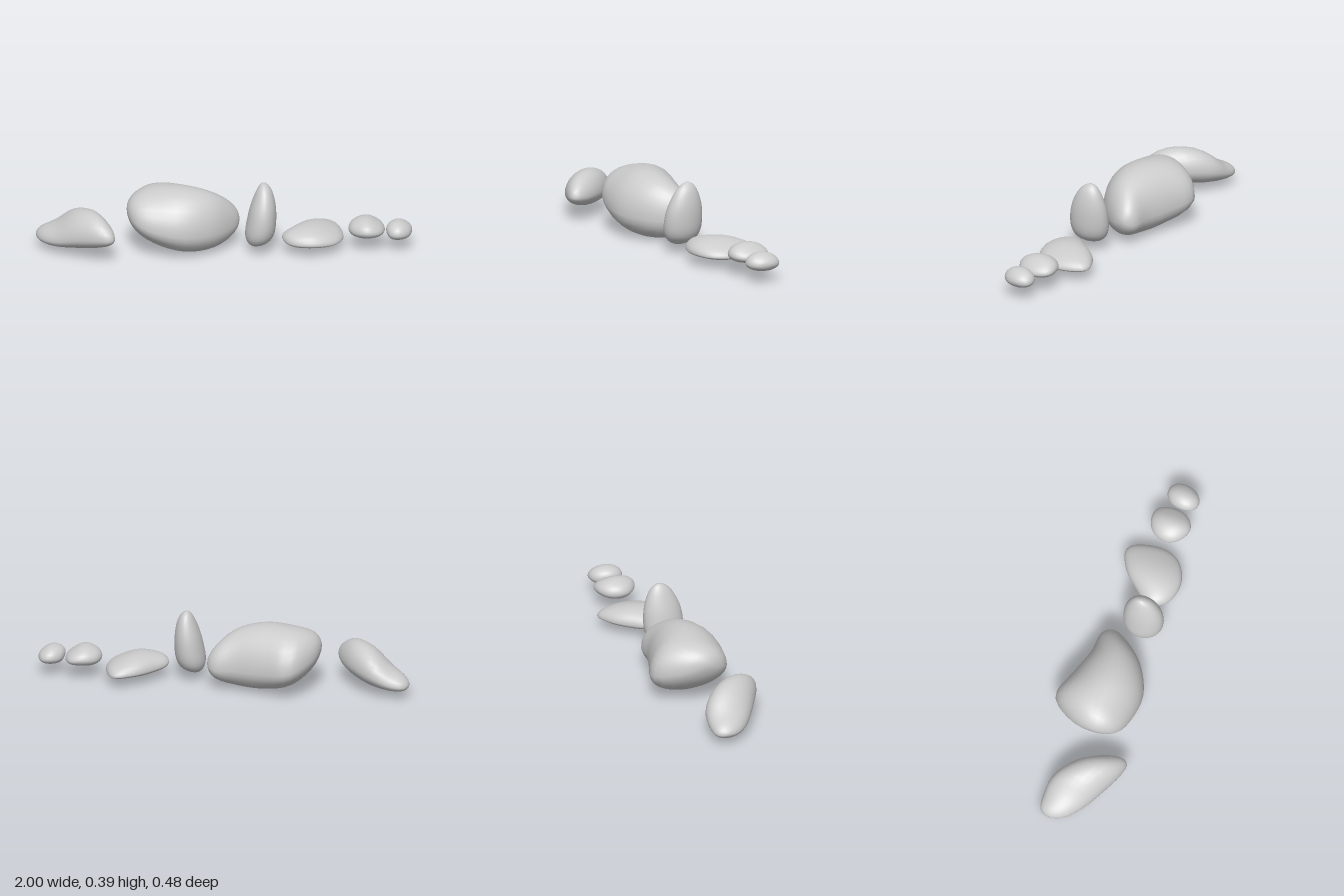
import * as THREE from 'three';

const material = new THREE.MeshStandardMaterial({ color: 0xcccccc });

// Smooth closed outline of values evenly spaced around the stone:
// start pole, high side, end pole, then the low side back to the start.
function outlineAt(values, t) {
  const n = values.length;
  const i = Math.floor(t), f = t - i;
  const [a, b, c, d] = [-1, 0, 1, 2].map(k => values[(i + k + n) % n]);
  return b + 0.5 * f * (c - a + f * (2 * a - 5 * b + 4 * c - d + f * (3 * (b - c) + d - a)));
}

// Lofts rounded cross-sections between two poles along one axis.
// u and v are the outlines on the two other axes, in cyclic order x, y, z.
// belly is where along u the section is widest, 0 at the low side to 1 at the high side.
function stone(name, { axis = 'x', from, to, belly = 0.5, u, v }) {
  const rings = 22, sides = 28, n = u.length;
  const positions = [], index = [];
  const place = (a, b, c) => positions.push(...(axis === 'x' ? [a, b, c] : [c, a, b]));

  place(from, u[0], v[0]);
  for (let i = 1; i < rings; i++) {
    const s = (n / 2) * (i / rings);
    const along = (from + to) / 2 - ((to - from) / 2) * Math.cos((Math.PI * i) / rings);
    const uHi = outlineAt(u, s), uLo = outlineAt(u, n - s);
    const vHi = outlineAt(v, s), vLo = outlineAt(v, n - s);
    const uMid = uLo + (uHi - uLo) * belly;
    for (let j = 0; j < sides; j++) {
      const angle = (2 * Math.PI * j) / sides;
      const c = Math.cos(angle);
      place(along,
        uMid + c * (c > 0 ? uHi - uMid : uMid - uLo),
        (vHi + vLo) / 2 + Math.sin(angle) * (vHi - vLo) / 2);
    }
  }
  place(to, u[n / 2], v[n / 2]);

  // Fans close both poles, quads join neighbouring rings
  const last = positions.length / 3 - 1;
  for (let j = 0; j < sides; j++) {
    const k = (j + 1) % sides;
    index.push(0, 1 + k, 1 + j);
    for (let i = 0; i < rings - 2; i++) {
      const p = 1 + i * sides, q = p + sides;
      index.push(p + j, p + k, q + j, p + k, q + k, q + j);
    }
    index.push(last - sides + j, last - sides + k, last);
  }

  const geometry = new THREE.BufferGeometry();
  geometry.setAttribute('position', new THREE.Float32BufferAttribute(positions, 3));
  geometry.setIndex(index);
  geometry.computeVertexNormals();
  const mesh = new THREE.Mesh(geometry, material);
  mesh.name = name;
  return mesh;
}

export function createModel() {
  const group = new THREE.Group();
  group.name = 'stoneRow';

  // Diagonal stone, rising toward the boulder
  group.add(stone('leaningStone', {
    from: -1, to: -0.59, belly: 0.4,
    u: [0.07, 0.11, 0.155, 0.235, 0.25, 0.2, 0.14, 0.1, 0.065, 0.04, 0.03, 0.04],
    v: [-0.07, 0.01, 0.085, 0.16, 0.22, 0.238, 0.19, 0.08, -0.04, -0.122, -0.14, -0.13],
  }));

  // Largest stone, with a hollow in its back
  group.add(stone('largeBoulder', {
    from: -0.52, to: 0.085, belly: 0.38,
    u: [0.235, 0.31, 0.347, 0.354, 0.315, 0.23, 0.14, 0.06, 0.012, 0.003, 0.045, 0.13],
    v: [0.01, 0.13, 0.185, 0.2, 0.14, 0.03, -0.06, -0.125, -0.14, -0.195, -0.242, -0.13],
  }));

  // Tall stone, lofted upward
  group.add(stone('uprightStone', {
    axis: 'y', from: 0.04, to: 0.388,
    u: [0.07, 0.165, 0.175, 0.125, 0.05, -0.008, -0.04, -0.025],
    v: [0.16, 0.255, 0.275, 0.256, 0.208, 0.165, 0.125, 0.11],
  }));

  // Low slab with a flat underside
  group.add(stone('flatStone', {
    from: 0.305, to: 0.635, belly: 0.34,
    u: [0.085, 0.127, 0.145, 0.113, 0.065, 0.042, 0.038, 0.048],
    v: [0.07, 0.16, 0.19, 0.14, 0.02, -0.14, -0.12, -0.01],
  }));

  // Two small stones at the end of the row
  group.add(stone('smallStone', {
    from: 0.66, to: 0.855, belly: 0.45,
    u: [0.115, 0.158, 0.177, 0.145, 0.105, 0.08, 0.07, 0.08],
    v: [0.04, 0.11, 0.148, 0.115, 0.03, -0.055, -0.07, -0.035],
  }));
  group.add(stone('pebble', {
    from: 0.86, to: 1, belly: 0.42,
    u: [0.115, 0.15, 0.163, 0.14, 0.105, 0.073, 0.063, 0.073],
    v: [0.07, 0.13, 0.145, 0.11, 0.04, -0.02, -0.033, 0],
  }));
  return group;
}
